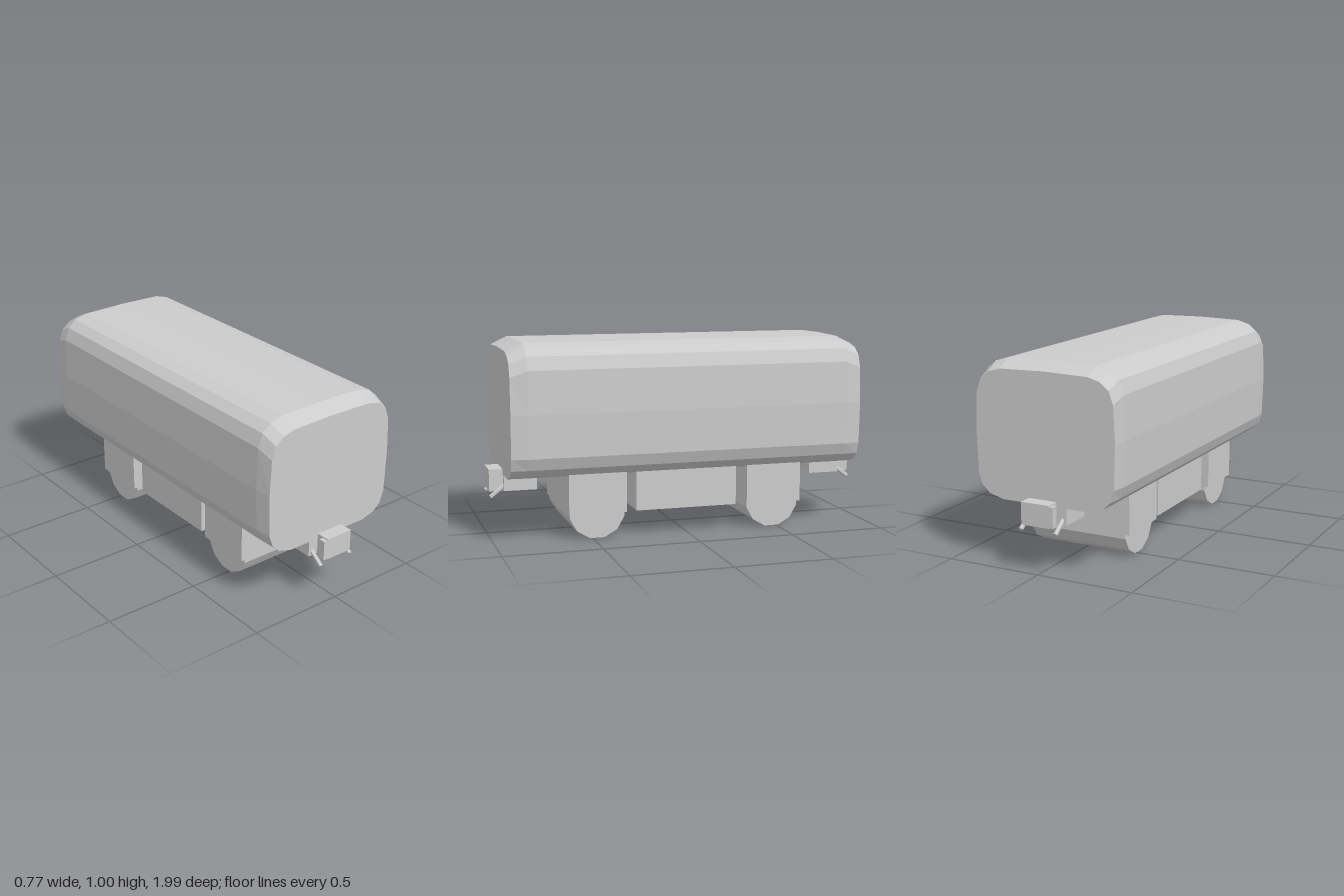
import * as THREE from 'three';

const grey = new THREE.MeshStandardMaterial({ color: 0xcccccc, flatShading: true });

function add(parent, name, geometry, x = 0, y = 0, z = 0) {
  const mesh = new THREE.Mesh(geometry, grey);
  mesh.name = name;
  mesh.position.set(x, y, z);
  parent.add(mesh);
  return mesh;
}

// Box given by its limits on each axis
function box(parent, name, x0, x1, y0, y1, z0, z1) {
  return add(parent, name, new THREE.BoxGeometry(x1 - x0, y1 - y0, z1 - z0),
    (x0 + x1) / 2, (y0 + y1) / 2, (z0 + z1) / 2);
}

// Mirror a half outline (top centre to bottom) into a closed ring
function ring(half) {
  const left = half.slice(1).reverse().map(([x, y]) => [-x, y]);
  return [...half, ...left];
}

// Join cross-sections along z and cap both ends
function loft(sections) {
  const pos = [], index = [], n = sections[0].points.length;
  for (const { points, z } of sections) for (const [x, y] of points) pos.push(x, y, z);
  for (let s = 0; s < sections.length - 1; s++) {
    for (let i = 0; i < n; i++) {
      const a = s * n + i, b = s * n + (i + 1) % n;
      index.push(a, a + n, b, b, a + n, b + n);
    }
  }
  const last = (sections.length - 1) * n;
  for (let i = 1; i < n - 1; i++) {
    index.push(0, i, i + 1);
    index.push(last, last + i + 1, last + i);
  }
  const g = new THREE.BufferGeometry();
  g.setAttribute('position', new THREE.Float32BufferAttribute(pos, 3));
  g.setIndex(index);
  const flat = g.toNonIndexed();
  flat.computeVertexNormals();
  return flat;
}

export function createModel() {
  const model = new THREE.Group();
  model.name = 'tankWagon';

  // Tank with rounded section and bevelled ends
  const main = ring([[0, 1.005], [0.24, 1.0], [0.31, 0.98], [0.355, 0.942], [0.38, 0.875],
    [0.387, 0.66], [0.38, 0.442], [0.355, 0.382], [0.31, 0.343], [0.235, 0.322]]);
  const end = ring([[0, 0.966], [0.235, 0.96], [0.3, 0.942], [0.345, 0.905], [0.368, 0.842],
    [0.377, 0.66], [0.37, 0.442], [0.35, 0.382], [0.31, 0.345], [0.235, 0.323]]);
  add(model, 'tank', loft([
    { points: end, z: -0.925 }, { points: main, z: -0.84 },
    { points: main, z: 0.84 }, { points: end, z: 0.925 },
  ]));

  // Equipment box between the wheel sets
  box(model, 'underframeBox', -0.275, 0.275, 0.13, 0.335, -0.27, 0.27);

  for (const s of [1, -1]) {
    const side = s > 0 ? 'front' : 'rear';
    const span = (a, b) => (s > 0 ? [a, b] : [-b, -a]);

    // Wheel set: housing with a twelve-sided roller below
    const bogie = new THREE.Group();
    bogie.name = side + 'Bogie';
    model.add(bogie);
    box(bogie, 'housing', -0.293, 0.293, 0.13, 0.34, ...span(0.325, 0.625));
    const roller = new THREE.CylinderGeometry(0.147, 0.147, 0.536, 12);
    roller.rotateY(Math.PI / 12);
    roller.rotateZ(Math.PI / 2);
    add(bogie, 'wheels', roller, 0, 0.143, s * 0.475);

    // Coupler: mount, block with a side plate, and two slanted rods
    const coupler = new THREE.Group();
    coupler.name = side + 'Coupler';
    model.add(coupler);
    box(coupler, 'mount', -0.118, 0.118, 0.24, 0.325, ...span(0.755, 0.924));
    box(coupler, 'block', -0.063, 0.088, 0.237, 0.349, ...span(0.915, 0.995));
    box(coupler, 'sidePlate', -0.085, -0.063, 0.24, 0.343, ...span(0.96, 0.995));
    for (const x of [-0.095, 0.095]) {
      const path = new THREE.LineCurve3(
        new THREE.Vector3(x, 0.267, s * 0.915), new THREE.Vector3(x, 0.21, s * 0.99));
      const rod = add(coupler, 'rod', new THREE.CylinderGeometry(0.011, 0.011, path.getLength(), 6));
      rod.position.copy(path.getPoint(0.5));
      rod.quaternion.setFromUnitVectors(new THREE.Vector3(0, 1, 0), path.getTangent(0));
    }
  }
  return model;
}
